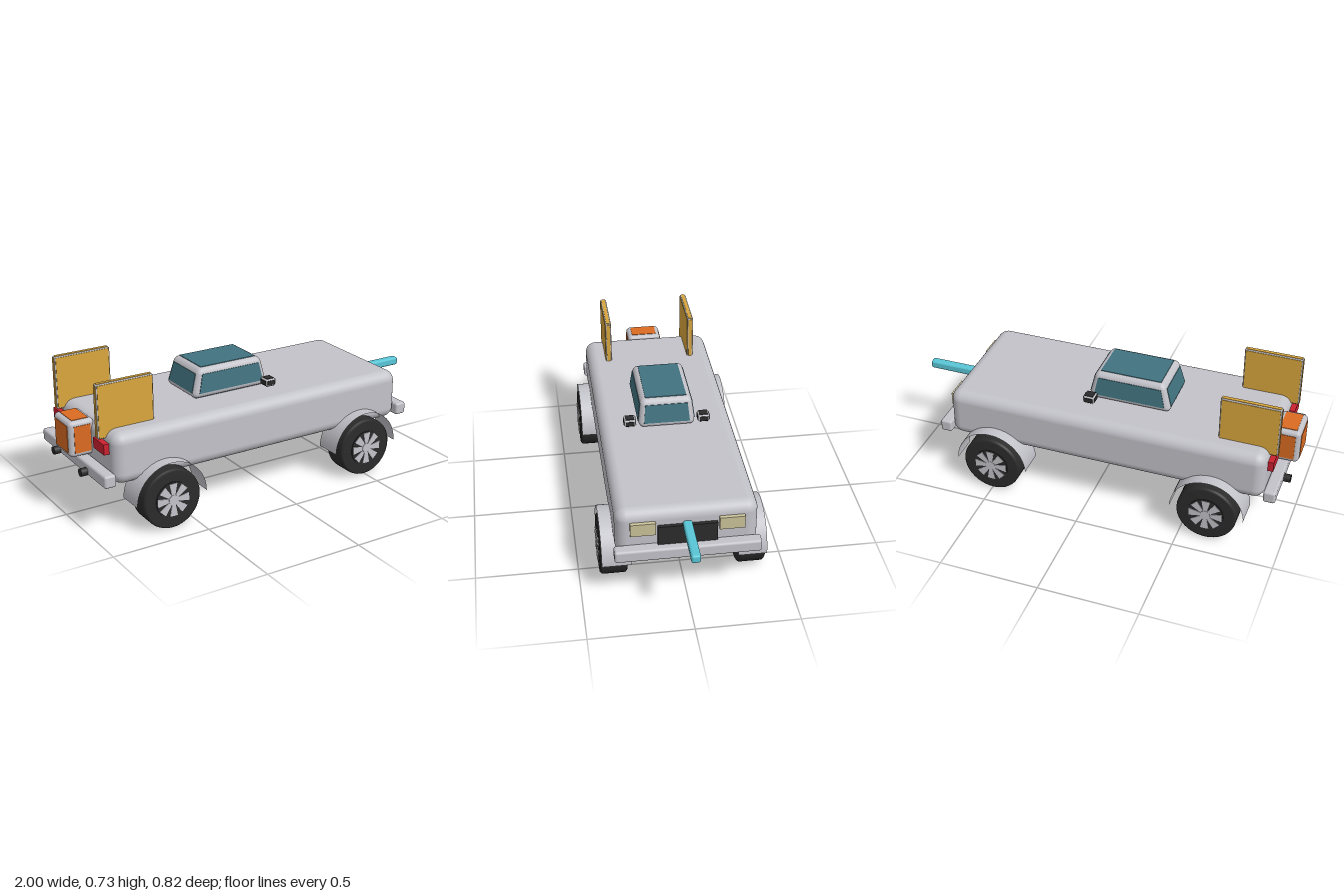
import * as THREE from 'three';
import { RoundedBoxGeometry } from 'three/addons/geometries/RoundedBoxGeometry.js';

function material(name, color, side = THREE.FrontSide) {
  const m = new THREE.MeshStandardMaterial({ color, side });
  m.name = name;
  return m;
}

export function createModel() {
  const car = new THREE.Group();
  car.name = 'car';
  const silver = material('silver', 0xc2c2c9, THREE.DoubleSide);
  const black = material('black', 0x2b2b2b);
  const glass = material('glass', 0x41727f);
  const amber = material('amber', 0xd9a63c);
  const orange = material('orange', 0xdb6b22);
  const red = material('red', 0xcc2030);
  const cyan = material('cyan', 0x58c6d6);
  const cream = material('cream', 0xcbc29a);

  function add(parent, name, geometry, mat, x = 0, y = 0, z = 0) {
    const mesh = new THREE.Mesh(geometry, mat);
    mesh.name = name;
    mesh.position.set(x, y, z);
    parent.add(mesh);
    return mesh;
  }

  // Rounded silver box with a thin coloured panel on each face
  function framedBox(name, size, radius, inset, mat, x, y, z, bend) {
    const group = new THREE.Group();
    group.name = name;
    group.position.set(x, y, z);
    car.add(group);
    const shell = new RoundedBoxGeometry(...size, 4, radius);
    if (bend) bend(shell);
    add(group, name + 'Frame', shell, silver);
    for (let axis = 0; axis < 3; axis++) {
      for (const side of [-1, 1]) {
        const dims = size.map((s, i) => (i === axis ? 0.005 : s - 2 * inset));
        const offset = [0, 0, 0];
        offset[axis] = side * size[axis] / 2;
        const panel = new THREE.BoxGeometry(...dims).translate(...offset);
        if (bend) bend(panel);
        add(group, name + 'Panel', panel, mat);
      }
    }
  }

  // Body and bumpers
  add(car, 'body', new RoundedBoxGeometry(1.63, 0.255, 0.67, 6, 0.055), silver, -0.075, 0.3725, 0);
  add(car, 'frontBumper', new RoundedBoxGeometry(0.06, 0.062, 0.69, 3, 0.012), silver, 0.765, 0.288, 0);
  add(car, 'rearBumper', new RoundedBoxGeometry(0.06, 0.062, 0.69, 3, 0.012), silver, -0.922, 0.288, 0);

  // Cabin narrows towards the roof
  framedBox('cabin', [0.43, 0.147, 0.29], 0.03, 0.027, glass, -0.15, 0.5765, 0, (geometry) => {
    const p = geometry.attributes.position;
    for (let i = 0; i < p.count; i++) {
      const t = p.getY(i) / 0.147 + 0.5;
      p.setX(i, p.getX(i) * (1 - 0.17 * t) + 0.004 * t);
      p.setZ(i, p.getZ(i) * (1 - 0.12 * t));
    }
    geometry.computeVertexNormals();
  });

  // Nose
  add(car, 'grille', new THREE.BoxGeometry(0.04, 0.1, 0.28), black, 0.738, 0.369, 0);
  add(car, 'noseRod', new RoundedBoxGeometry(0.27, 0.042, 0.044, 2, 0.011), cyan, 0.865, 0.411, 0);

  // Rear box
  framedBox('rearBox', [0.13, 0.18, 0.18], 0.022, 0.023, orange, -0.935, 0.415, 0);

  for (const s of [-1, 1]) {
    add(car, 'headlight', new THREE.BoxGeometry(0.04, 0.065, 0.119), cream, 0.739, 0.411, s * 0.208);
    add(car, 'tailLight', new THREE.BoxGeometry(0.05, 0.052, 0.11), red, -0.892, 0.42, s * 0.22);
    add(car, 'exhaust', new THREE.CylinderGeometry(0.02, 0.02, 0.13, 20).rotateZ(Math.PI / 2),
      black, -0.92, 0.276, s * 0.15);
    framedBox('rearFin', [0.29, 0.265, 0.028], 0.005, 0.005, amber, -0.78, 0.5925, s * 0.223);
    framedBox('mirror', [0.056, 0.036, 0.057], 0.008, 0.007, black, 0.036, 0.538, s * 0.186);
  }

  // Wheel spoke outline, widening outwards
  const spokeShape = new THREE.Shape([
    new THREE.Vector2(-0.009, 0.02), new THREE.Vector2(0.009, 0.02),
    new THREE.Vector2(0.021, 0.083), new THREE.Vector2(-0.021, 0.083),
  ]);
  const spokeGeometry = new THREE.ExtrudeGeometry(spokeShape, { depth: 0.004, bevelEnabled: false });
  const tyreProfile = [[0.001, -0.065], [0.14, -0.065], [0.148, -0.058], [0.15, -0.05],
    [0.15, 0.05], [0.148, 0.058], [0.14, 0.065], [0.001, 0.065]];
  const tyreGeometry = new THREE.LatheGeometry(tyreProfile.map(([r, h]) => new THREE.Vector2(r, h)), 40)
    .rotateX(Math.PI / 2);
  const rimGeometry = new THREE.CylinderGeometry(0.09, 0.09, 0.138, 32).rotateX(Math.PI / 2);
  const hubGeometry = new THREE.CylinderGeometry(0.025, 0.025, 0.147, 20).rotateX(Math.PI / 2);
  const fenderGeometry = new THREE.CylinderGeometry(0.185, 0.185, 0.14, 32, 1, true, Math.PI / 2, Math.PI)
    .rotateX(Math.PI / 2);

  // Wheels under half-round fenders
  for (const x of [-0.633, 0.497]) {
    for (const s of [-1, 1]) {
      const wheel = new THREE.Group();
      wheel.name = 'wheel';
      wheel.position.set(x, 0.15, s * 0.335);
      car.add(wheel);
      add(wheel, 'tyre', tyreGeometry, black);
      add(wheel, 'rim', rimGeometry, black);
      add(wheel, 'hub', hubGeometry, silver);
      for (const face of [-1, 1]) {
        for (let i = 0; i < 8; i++) {
          const spoke = add(wheel, 'spoke', spokeGeometry, silver, 0, 0, face > 0 ? 0.068 : -0.072);
          spoke.rotation.z = i * Math.PI / 4;
        }
      }
      add(car, 'fender', fenderGeometry, silver, x, 0.15, s * 0.327);
    }
  }
  return car;
}
